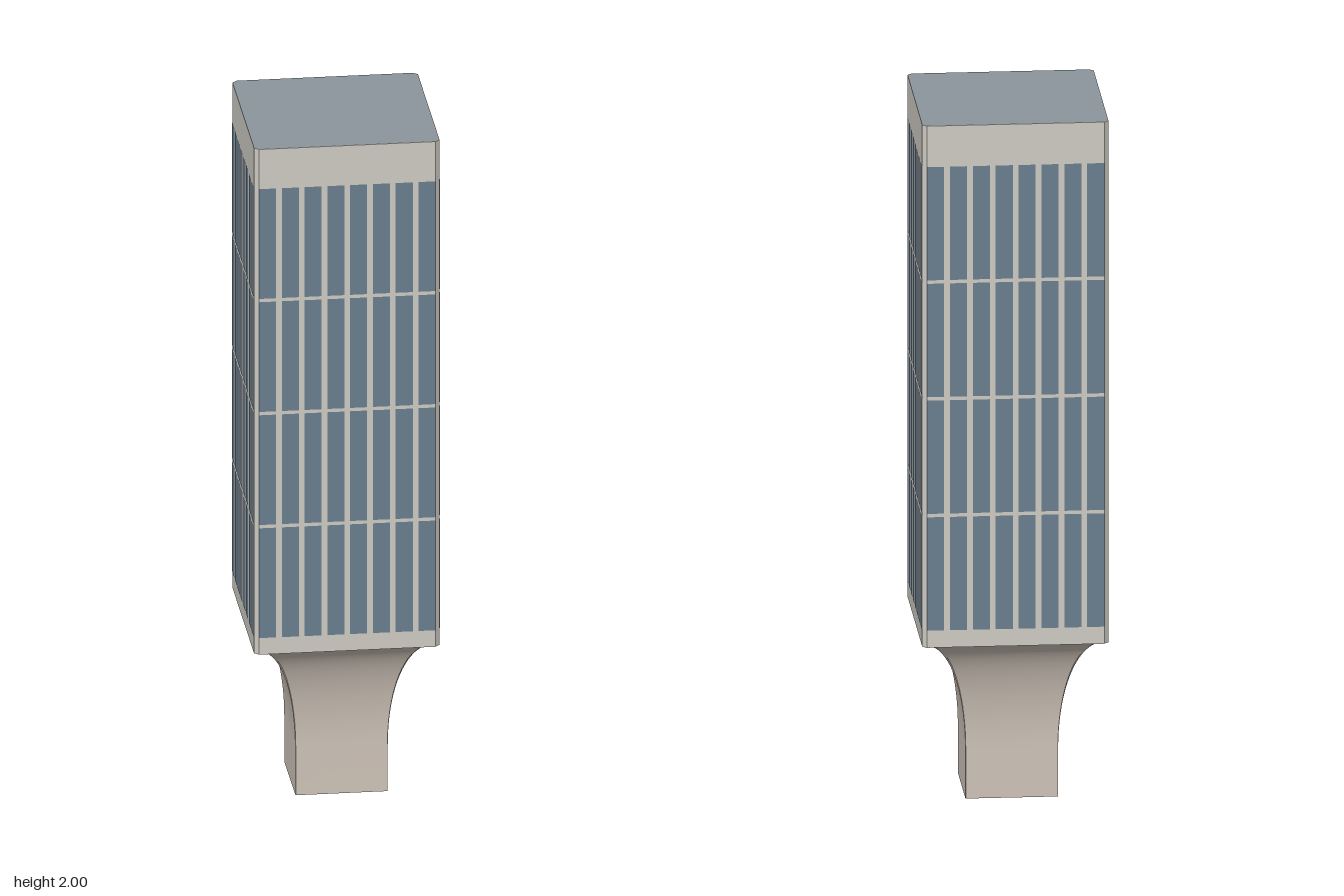
import * as THREE from 'three';
import { toCreasedNormals } from 'three/addons/utils/BufferGeometryUtils.js';

const HALF = 0.261, CHAMFER = 0.0125;
const BODY_BASE = 0.48, TOP = 2;
const STEM_HALF = 0.13, STEM_STRAIGHT = 0.14;

const material = (color) => new THREE.MeshStandardMaterial({ color, side: THREE.DoubleSide });

function mesh(name, geometry, mat) {
  const m = new THREE.Mesh(geometry, mat);
  m.name = name;
  return m;
}

// Square with cut corners, counter-clockwise
function squareRing(h, c) {
  const ring = [];
  for (let i = 0; i < 4; i++) {
    const centre = new THREE.Vector2();
    ring.push(
      new THREE.Vector2(h, -(h - c)).rotateAround(centre, (i * Math.PI) / 2),
      new THREE.Vector2(h, h - c).rotateAround(centre, (i * Math.PI) / 2),
    );
  }
  return ring;
}

// Hollow foot: straight shaft flaring out along a quarter ellipse
function stemGeometry(steps = 20) {
  const levels = [[STEM_HALF, 0, 0.001]];
  for (let i = 0; i <= steps; i++) {
    const a = (i / steps) * Math.PI / 2;
    levels.push([
      HALF - (HALF - STEM_HALF) * Math.cos(a),
      STEM_STRAIGHT + (BODY_BASE - STEM_STRAIGHT) * Math.sin(a),
      0.001 + (CHAMFER - 0.001) * (1 - Math.cos(a)),
    ]);
  }
  const positions = [], index = [];
  levels.forEach(([h, y, c], k) => {
    squareRing(h, c).forEach((p) => positions.push(p.x, y, -p.y));
    if (k === 0) return;
    for (let j = 0; j < 8; j++) {
      const n = (j + 1) % 8, lo = (k - 1) * 8, hi = k * 8;
      index.push(lo + j, lo + n, hi + n, lo + j, hi + n, hi + j);
    }
  });
  const g = new THREE.BufferGeometry();
  g.setAttribute('position', new THREE.Float32BufferAttribute(positions, 3));
  g.setIndex(index);
  return toCreasedNormals(g, 0.6);
}

export function createModel() {
  const model = new THREE.Group();
  model.name = 'towerBuilding';
  const tower = new THREE.Group();
  tower.name = 'tower';
  tower.rotation.y = THREE.MathUtils.degToRad(31);
  model.add(tower);

  const concrete = material(0xd0ccc4);
  const stone = material(0xd0c5ba);
  const glass = material(0x6a7f90);
  const roofing = material(0x8b959c);

  tower.add(mesh('flaredStem', stemGeometry(), stone));

  // Concrete shaft with its roof surface
  const outline = new THREE.Shape(squareRing(HALF, CHAMFER));
  const shaft = new THREE.ExtrudeGeometry(outline, { depth: TOP - BODY_BASE - 0.001, bevelEnabled: false });
  shaft.rotateX(-Math.PI / 2).translate(0, BODY_BASE, 0);
  tower.add(mesh('shaft', shaft, concrete));
  const roof = new THREE.ShapeGeometry(outline).rotateX(-Math.PI / 2).translate(0, TOP, 0);
  tower.add(mesh('roof', roof, roofing));

  // Window grid, flush with the wall: 8 columns by 4 rows on each side
  const columns = 8, rows = 4, mullion = 0.016, transom = 0.01;
  const low = 0.53, high = 1.88, width = 2 * (HALF - CHAMFER);
  const paneW = (width - (columns - 1) * mullion) / columns;
  const paneH = (high - low - (rows - 1) * transom) / rows;
  const pane = new THREE.PlaneGeometry(paneW, paneH);
  for (let side = 0; side < 4; side++) {
    const facade = new THREE.Group();
    facade.name = 'windowFacade';
    facade.rotation.y = (side * Math.PI) / 2;
    for (let r = 0; r < rows; r++) {
      for (let c = 0; c < columns; c++) {
        const window = mesh('windowPane', pane, glass);
        window.position.set(
          (c - (columns - 1) / 2) * (paneW + mullion),
          low + paneH / 2 + r * (paneH + transom),
          HALF + 0.001,
        );
        facade.add(window);
      }
    }
    tower.add(facade);
  }
  return model;
}
